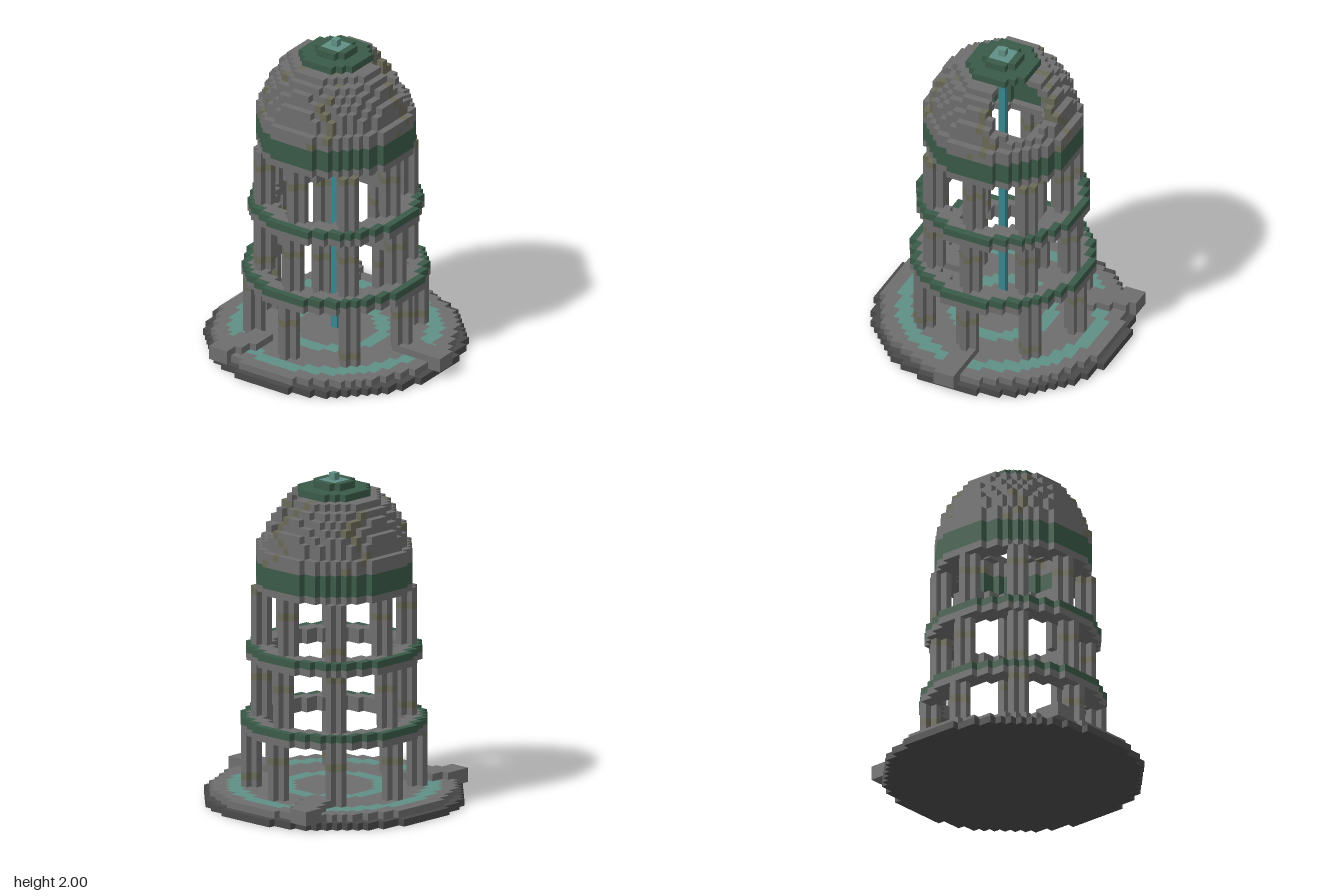
import * as THREE from 'three';

const V = 1 / 23; // edge length of one block

const COLORS = {
  stone: 0x6e6e6e, darkStone: 0x4a4a4a, mossyStone: 0x6a6a58,
  greenCopper: 0x3a5a48, paleTeal: 0x5f8f85, water: 0x398790,
};

// the six faces of a block: outward direction and two edges with u x v = direction
const FACES = [
  [[1, 0, 0], [0, 1, 0], [0, 0, 1]], [[-1, 0, 0], [0, 0, 1], [0, 1, 0]],
  [[0, 1, 0], [0, 0, 1], [1, 0, 0]], [[0, -1, 0], [1, 0, 0], [0, 0, 1]],
  [[0, 0, 1], [1, 0, 0], [0, 1, 0]], [[0, 0, -1], [0, 1, 0], [1, 0, 0]],
];

export function createModel() {
  const blocks = new Map();
  const key = (x, y, z) => (y * 64 + z + 32) * 64 + x + 32;
  const put = (part, color, x, y, z) => blocks.set(key(x, y, z), { part, color, p: [x, y, z] });

  // ring (or disc, when inner is below 0) in one layer; paint(r, x, z) gives a colour or null
  const ring = (part, y, inner, outer, paint) => {
    const n = Math.ceil(outer);
    for (let x = -n; x <= n; x++) for (let z = -n; z <= n; z++) {
      const r = Math.hypot(x, z);
      if (r <= inner || r > outer) continue;
      const color = typeof paint === 'string' ? paint : paint(r, x, z);
      if (color) put(part, color, x, y, z);
    }
  };

  // stepped base with inlaid teal rings
  ring('foundation', 0, -1, 17.5, 'darkStone');
  ring('floor', 1, -1, 16.5, (r) =>
    (r > 12.5 && r <= 14.5) || (r > 5.5 && r <= 7.5) ? 'paleTeal' : 'stone');

  // three channels running outward over the floor
  for (let k = 0; k < 3; k++) {
    const a = (k * 2 * Math.PI) / 3;
    for (let d = 12; d <= 17; d++) {
      const cx = Math.round(d * Math.cos(a)), cz = Math.round(d * Math.sin(a));
      for (let i = -1; i <= 1; i++) for (let j = -1; j <= 1; j++) for (let y = 1; y <= 2; y++)
        put('channel', 'stone', cx + i, y, cz + j);
    }
  }

  // three colonnades of eight plus-shaped columns
  const tiers = [
    { y: 2, axis: 11, diagonal: 8, R: 12.5, rim: 11.6 },
    { y: 12, axis: 10, diagonal: 7, R: 11.5, rim: 10.6 },
    { y: 22, axis: 9, diagonal: 7, R: 10.5, rim: 9.6 },
  ];
  const plus = [[0, 0], [1, 0], [-1, 0], [0, 1], [0, -1]];
  tiers.forEach((t, level) => {
    for (let c = 0; c < 8; c++) {
      const d = c % 2 ? t.diagonal : t.axis;
      const cx = Math.sign(Math.round(Math.cos(c * Math.PI / 4) * 2)) * d;
      const cz = Math.sign(Math.round(Math.sin(c * Math.PI / 4) * 2)) * d;
      const mossRow = c % 2 ? [7, 1, 5][(c + level) % 3] : 5; // one mossy course per column
      for (const [i, j] of plus) for (let h = 0; h < 8; h++)
        put('column', h === mossRow ? 'mossyStone' : 'stone', cx + i, t.y + h, cz + j);
    }
    // stone gallery carried by the columns, with a copper rim on the lower two
    ring('gallery', t.y + 8, t.R - 3, t.R, 'stone');
    if (level < 2) ring('galleryRim', t.y + 9, t.R - 3, t.R, (r) => (r > t.rim ? 'greenCopper' : 'stone'));
  });

  // copper drum below the dome
  for (let y = 31; y <= 33; y++) ring('drum', y, 8.4, 10.5, 'greenCopper');

  // hollow dome with moss streaks and a broken opening
  const domeRadii = [10.5, 10.5, 9.6, 9.6, 9.4, 8.7, 8.2, 7.4, 6.4];
  domeRadii.forEach((R, k) => ring('dome', 34 + k, R - 2.2, R, (r, x, z) => {
    if (Math.hypot(x - 5, 34 + k - 40, z + 5) < 4.3) return null;
    const swirl = Math.atan2(z, x) * 5 + Math.sin(k * 0.9) * 0.9 + k * 0.25;
    return Math.cos(swirl) > 0.94 ? 'mossyStone' : 'stone';
  }));

  // copper cap and finial
  ring('cap', 43, -1, 4.5, 'greenCopper');
  ring('cap', 44, -1, 2.5, (r) => (r < 1.5 ? 'paleTeal' : 'greenCopper'));
  put('finial', 'paleTeal', 0, 45, 0);

  // thin stream of water falling along the axis
  for (let y = 2; y <= 42; y++) put('waterStream', 'water', 0, y, 0);

  // collect the exposed faces of every part by colour
  const faces = {};
  for (const { part, color, p } of blocks.values()) {
    for (const [n, u, v] of FACES) {
      const q = p.map((c, i) => c + n[i]);
      if (blocks.has(key(...q))) continue;
      const list = ((faces[part] ??= {})[color] ??= { pos: [], nor: [] });
      const corner = (a, b) => p.map((c, i) => c + (n[i] + a * u[i] + b * v[i]) / 2);
      const quad = [corner(-1, -1), corner(1, -1), corner(1, 1), corner(-1, 1)];
      for (const i of [0, 1, 2, 0, 2, 3]) {
        const [x, y, z] = quad[i];
        list.pos.push(x * V - V / 2, (y + 0.5) * V, z * V);
        list.nor.push(...n);
      }
    }
  }

  const materials = {};
  for (const [name, color] of Object.entries(COLORS)) {
    materials[name] = new THREE.MeshStandardMaterial({ color });
    materials[name].name = name;
  }

  const model = new THREE.Group();
  model.name = 'domedTower';
  for (const [part, byColor] of Object.entries(faces)) {
    const group = new THREE.Group();
    group.name = part;
    for (const [color, { pos, nor }] of Object.entries(byColor)) {
      const geometry = new THREE.BufferGeometry();
      geometry.setAttribute('position', new THREE.Float32BufferAttribute(pos, 3));
      geometry.setAttribute('normal', new THREE.Float32BufferAttribute(nor, 3));
      const mesh = new THREE.Mesh(geometry, materials[color]);
      mesh.name = `${part}_${color}`;
      group.add(mesh);
    }
    model.add(group);
  }
  return model;
}
